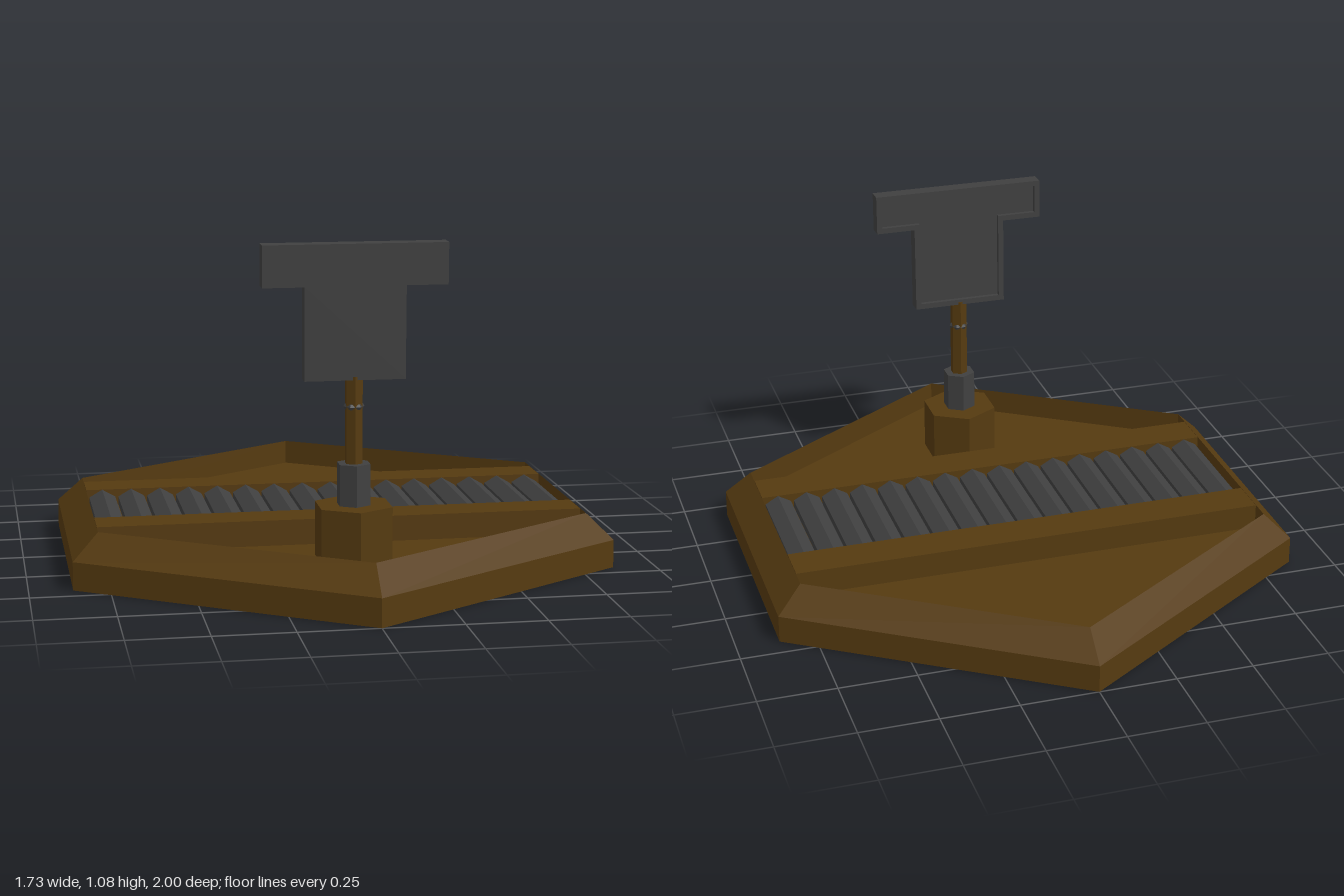
import * as THREE from 'three';

const brown = new THREE.MeshStandardMaterial({ color: 0x553a10, flatShading: true });
const grey = new THREE.MeshStandardMaterial({ color: 0x404040, flatShading: true });

function add(parent, name, geometry, material, x = 0, y = 0, z = 0) {
  const mesh = new THREE.Mesh(geometry, material);
  mesh.name = name;
  mesh.position.set(x, y, z);
  parent.add(mesh);
  return mesh;
}

// Sweeps a [scale, height] profile around a six-cornered outline
function hexTray(profile) {
  const corners = [[0, 1], [0.863, 0.435], [0.863, -0.435], [0, -1], [-0.863, -0.435], [-0.863, 0.435]];
  const pos = [];
  const point = ([s, y], i) => [corners[i % 6][0] * s, y, corners[i % 6][1] * s];
  for (let p = 0; p < profile.length - 1; p++) {
    const [a, b] = [profile[p], profile[p + 1]];
    for (let i = 0; i < 6; i++) {
      if (a[0] > 0) pos.push(...point(a, i), ...point(a, i + 1), ...point(b, i + 1));
      if (b[0] > 0) pos.push(...point(a, i), ...point(b, i + 1), ...point(b, i));
    }
  }
  const g = new THREE.BufferGeometry();
  g.setAttribute('position', new THREE.Float32BufferAttribute(pos, 3));
  g.computeVertexNormals();
  return g;
}

// T-shaped outline, shrunk inward by d
function tOutline(d) {
  const arm = 0.287 - d, stem = 0.157 - d, top = 0.42 - d, under = 0.29 + d, low = d;
  return [[-stem, low], [stem, low], [stem, under], [arm, under], [arm, top],
    [-arm, top], [-arm, under], [-stem, under]].map(([x, y]) => new THREE.Vector2(x, y));
}

export function createModel() {
  const model = new THREE.Group();
  model.name = 'signOnHexBase';

  // Bevelled base with a sunken floor
  add(model, 'base', hexTray([[0, 0], [1, 0], [1, 0.09], [0.905, 0.172], [0.905, 0.09], [0, 0.09]]), brown);

  // Bridge across the base: two rails and a shallow channel
  for (const side of [1, -1]) {
    add(model, 'bridgeRail', new THREE.BoxGeometry(1.56, 0.092, 0.13), brown, 0, 0.126, side * 0.265);
  }
  add(model, 'channelFloor', new THREE.BoxGeometry(1.56, 0.04, 0.4), brown, 0, 0.1, 0);

  // Row of six-sided rollers
  const rollers = new THREE.Group();
  rollers.name = 'rollers';
  model.add(rollers);
  const count = 16, pitch = 1.55 / count;
  const rollerGeometry = new THREE.CylinderGeometry(0.05, 0.05, 0.398, 6).rotateX(Math.PI / 2);
  for (let i = 0; i < count; i++) {
    add(rollers, 'roller', rollerGeometry, grey, (i - (count - 1) / 2) * pitch, 0.122, 0);
  }

  // Stepped post
  const post = new THREE.Group();
  post.name = 'post';
  post.position.z = 0.525;
  model.add(post);
  const step = (name, r, y0, y1, material) =>
    add(post, name, new THREE.CylinderGeometry(r, r, y1 - y0, 6), material, 0, (y0 + y1) / 2, 0);
  step('pedestal', 0.128, 0.085, 0.262, brown);
  step('socket', 0.055, 0.262, 0.392, grey);
  step('rod', 0.029, 0.392, 0.665, brown);
  add(post, 'collar', new THREE.TorusGeometry(0.023, 0.01, 6, 6).rotateX(Math.PI / 2), grey, 0, 0.57, 0);

  // Sign: solid front plate with a raised border on its back
  const sign = new THREE.Group();
  sign.name = 'sign';
  sign.position.set(0, 0.655, 0.525);
  sign.rotation.x = 0.025;
  model.add(sign);
  const plate = new THREE.Shape(tOutline(0));
  const border = new THREE.Shape(tOutline(0));
  border.holes.push(new THREE.Path(tOutline(0.018)));
  const extrude = (shape, depth) => new THREE.ExtrudeGeometry(shape, { depth, bevelEnabled: false });
  add(sign, 'signPlate', extrude(plate, 0.035), grey, 0, 0, -0.01);
  add(sign, 'signBorder', extrude(border, 0.015), grey, 0, 0, -0.025);

  return model;
}
